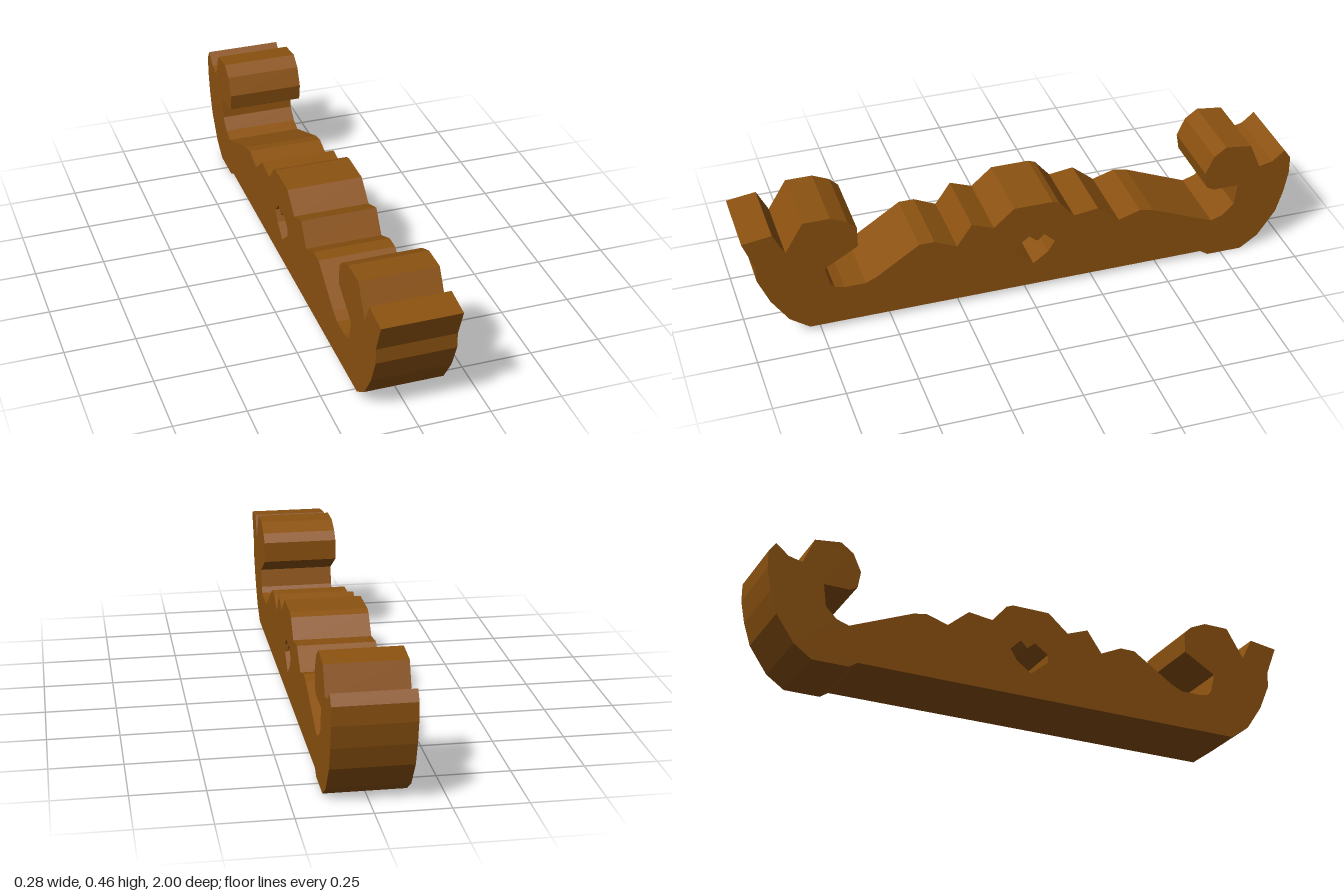
import * as THREE from 'three';

const WIDTH = 0.275;

// Side outline as [z, y], from the front foot up over the top to the back foot
const OUTLINE = [
  // front outer curve and hook
  [0.79, 0.02], [0.86, 0.07], [0.92, 0.16], [0.96, 0.255], [0.96, 0.31], [1, 0.415],
  [0.895, 0.43], [0.855, 0.35], [0.79, 0.457], [0.695, 0.457], [0.635, 0.43], [0.605, 0.4],
  [0.605, 0.325], [0.725, 0.255], [0.71, 0.19], [0.695, 0.17], [0.66, 0.162], [0.585, 0.162],
  // stepped crest
  [0.545, 0.18], [0.39, 0.282], [0.335, 0.282], [0.255, 0.245], [0.2, 0.325], [0.12, 0.295],
  [0.045, 0.36], [-0.095, 0.36], [-0.12, 0.35], [-0.175, 0.285], [-0.265, 0.297],
  [-0.345, 0.23], [-0.425, 0.255], [-0.475, 0.245], [-0.705, 0.15],
  // back hook and outer curve
  [-0.75, 0.165], [-0.79, 0.205], [-0.8, 0.285], [-0.705, 0.285], [-0.68, 0.3], [-0.67, 0.36],
  [-0.7, 0.425], [-0.745, 0.457], [-0.84, 0.445], [-0.88, 0.35], [-0.93, 0.362],
  [-0.975, 0.4], [-1, 0.365], [-1, 0.3], [-0.985, 0.22], [-0.96, 0.14], [-0.895, 0.045],
  [-0.83, 0], [-0.7, 0], [-0.67, 0.02],
];

// Heart-shaped opening through the centre
const HEART = [
  [0.04, 0.165], [0.04, 0.195], [-0.01, 0.23], [-0.04, 0.205],
  [-0.065, 0.23], [-0.105, 0.19], [-0.08, 0.15], [-0.025, 0.11],
];

const toPoints = (list) => list.map(([z, y]) => new THREE.Vector2(z, y));

export function createModel() {
  const wood = new THREE.MeshStandardMaterial({ color: 0x8c5210, flatShading: true });
  wood.name = 'brown wood';

  const profile = new THREE.Shape(toPoints(OUTLINE));
  profile.holes.push(new THREE.Path(toPoints(HEART)));

  // Extrude across the width, then turn the profile to run along z
  const geometry = new THREE.ExtrudeGeometry(profile, { depth: WIDTH, bevelEnabled: false });
  geometry.translate(0, 0, -WIDTH / 2);
  geometry.rotateY(-Math.PI / 2);

  const carvedBar = new THREE.Mesh(geometry, wood);
  carvedBar.name = 'carvedScrollBar';

  const group = new THREE.Group();
  group.name = 'carvedScrollOrnament';
  group.add(carvedBar);
  return group;
}
